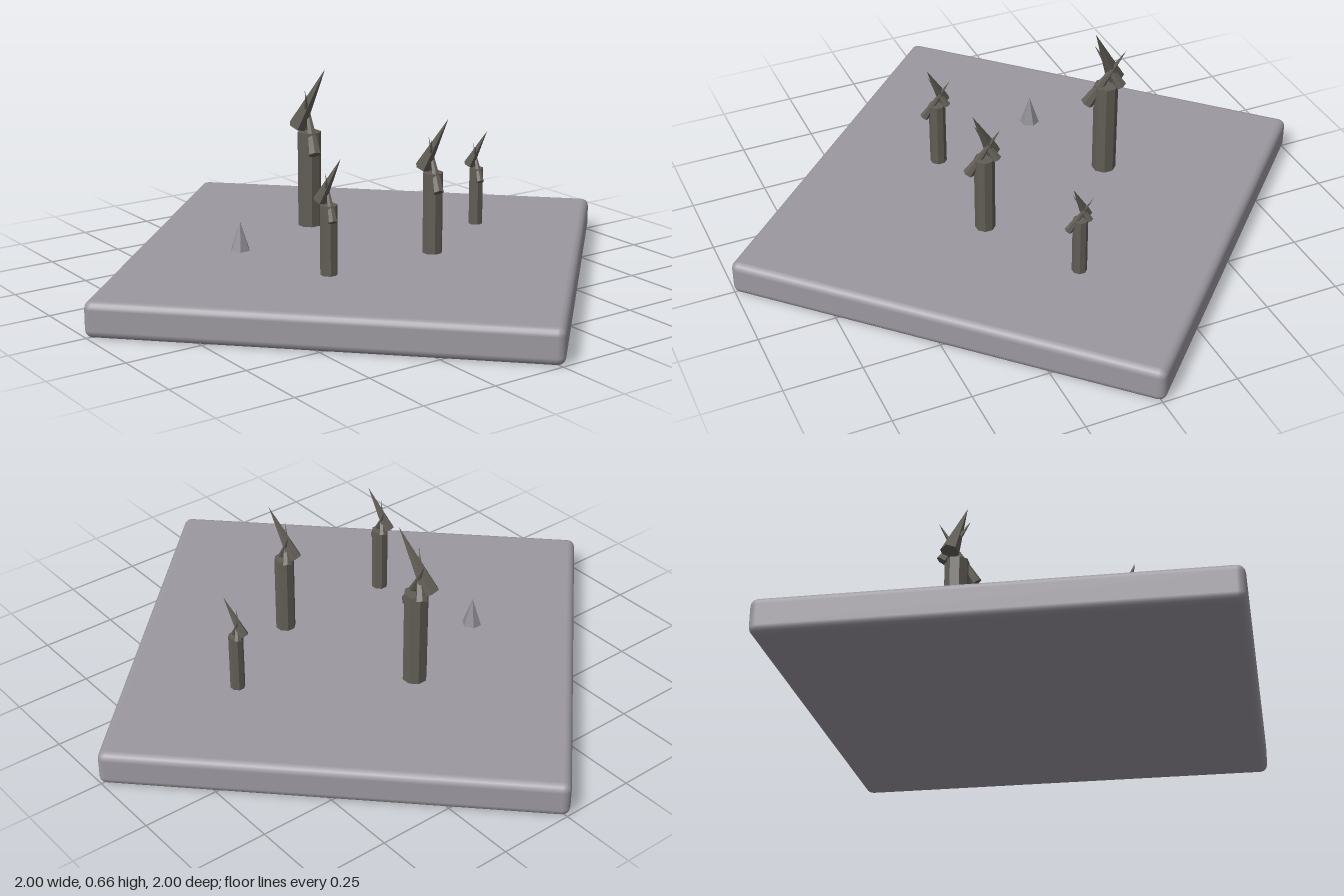
import * as THREE from 'three';
import { RoundedBoxGeometry } from 'three/addons/geometries/RoundedBoxGeometry.js';

const stone = new THREE.MeshStandardMaterial({ name: 'grey ground', color: 0x9c98a0 });
const bark = new THREE.MeshStandardMaterial({ name: 'dead bark', color: 0x625e56, flatShading: true });
const rock = new THREE.MeshStandardMaterial({ name: 'grey rock', color: 0x8e8c92, flatShading: true });

const UP = new THREE.Vector3(0, 1, 0);
const GROUND = 0.115;

function add(parent, name, geometry, material) {
  const mesh = new THREE.Mesh(geometry, material);
  mesh.name = name;
  parent.add(mesh);
  return mesh;
}

// Cone running from the centre of its base to its tip
function spike(parent, name, base, tip, radius) {
  const a = new THREE.Vector3(...base);
  const b = new THREE.Vector3(...tip);
  const dir = b.clone().sub(a);
  const cone = add(parent, name, new THREE.ConeGeometry(radius, dir.length(), 6), bark);
  cone.position.copy(a).add(b).multiplyScalar(0.5);
  cone.quaternion.setFromUnitVectors(UP, dir.normalize());
}

// Bare trunk crowned with crossing spikes; heights start at the ground
function deadTree(x, z, scale) {
  const tree = new THREE.Group();
  tree.name = 'deadTree';
  const trunk = add(tree, 'trunk', new THREE.CylinderGeometry(0.04, 0.04, 0.325, 8), bark);
  trunk.position.y = 0.1625;
  trunk.rotation.y = Math.PI / 8;
  spike(tree, 'longBranch', [-0.042, 0.338, 0.02], [0.056, 0.545, -0.028], 0.031);
  spike(tree, 'shortBranch', [-0.045, 0.32, -0.018], [0.03, 0.465, 0.032], 0.02);
  spike(tree, 'crossBranch', [0.06, 0.258, 0.018], [-0.06, 0.455, -0.022], 0.022);
  tree.position.set(x, GROUND, z);
  tree.scale.setScalar(scale);
  return tree;
}

export function createModel() {
  const model = new THREE.Group();
  model.name = 'deadGrove';

  // Ground slab, turned so its corners lie on the axes
  const slab = add(model, 'groundSlab', new RoundedBoxGeometry(1.429, GROUND, 1.429, 2, 0.025), stone);
  slab.position.y = GROUND / 2;
  slab.rotation.y = Math.PI / 4;

  // Trees: x, z, scale
  for (const [x, z, s] of [[-0.295, 0, 1], [0.2, -0.145, 0.82], [0.2, 0.26, 0.69], [0.02, -0.47, 0.6]]) {
    model.add(deadTree(x, z, s));
  }

  // Pointed rock
  const point = add(model, 'pointedRock', new THREE.ConeGeometry(0.033, 0.097, 6), rock);
  point.position.set(-0.178, GROUND + 0.0485, 0.35);
  return model;
}
